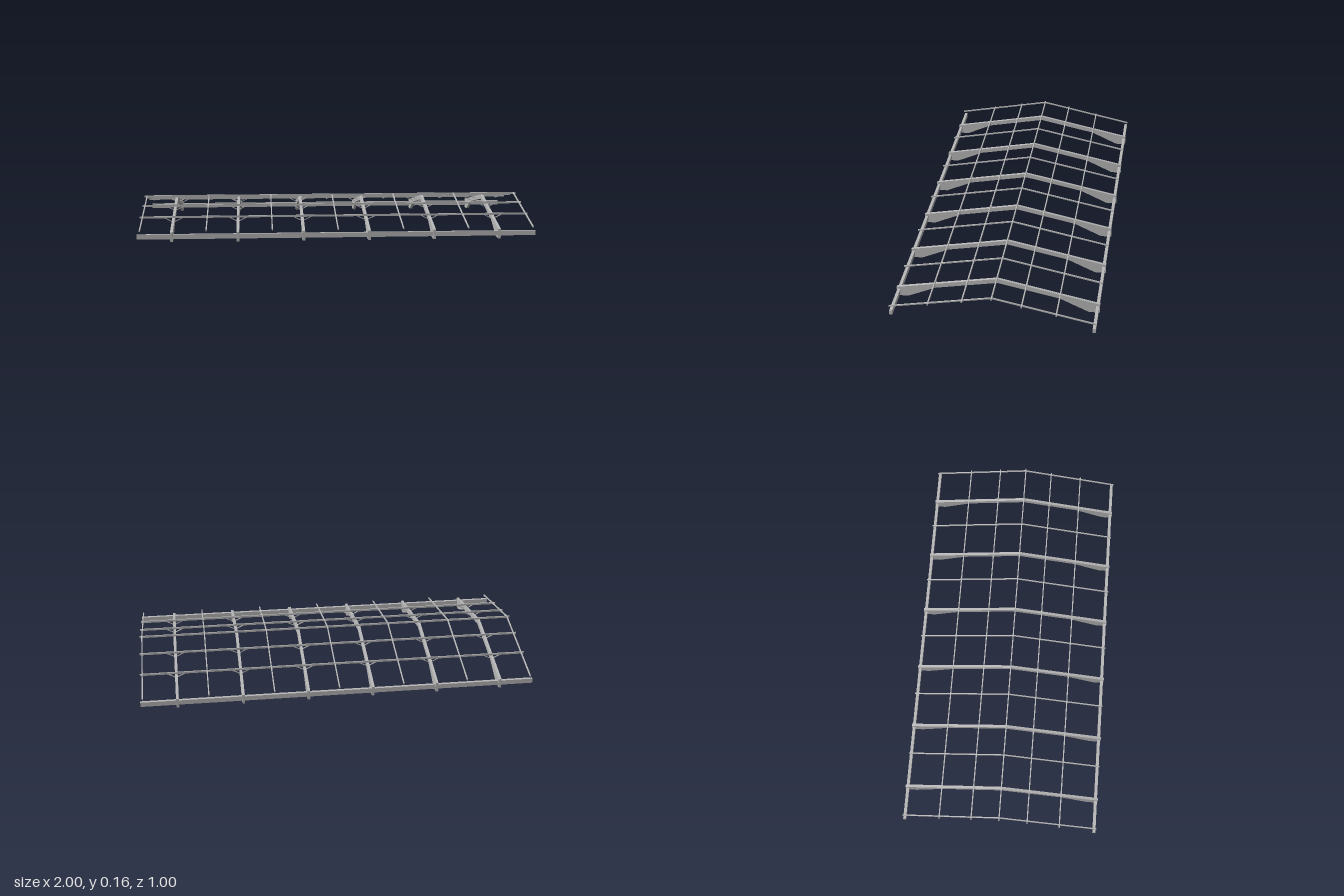
import * as THREE from 'three';

export function createModel() {
  const model = new THREE.Group();
  model.name = 'roofFrame';
  const steel = new THREE.MeshStandardMaterial({ color: 0xb8b8b8 });
  steel.name = 'greySteel';

  const add = (geometry, name) => {
    const mesh = new THREE.Mesh(geometry, steel);
    mesh.name = name;
    model.add(mesh);
    return mesh;
  };

  // Extrudes a [z, y] outline along x, centred on x
  const profile = (points, width, x, name) => {
    const shape = new THREE.Shape(points.map(([z, y]) => new THREE.Vector2(-z, y)));
    const geometry = new THREE.ExtrudeGeometry(shape, { depth: width, bevelEnabled: false });
    geometry.translate(0, 0, -width / 2).rotateY(Math.PI / 2);
    add(geometry, name).position.x = x;
  };

  // Square bar between two points
  const bar = (from, to, size, name) => {
    const mesh = add(new THREE.BoxGeometry(size, size, from.distanceTo(to)), name);
    mesh.position.copy(from).add(to).multiplyScalar(0.5);
    mesh.lookAt(to);
  };

  const roofY = z => 0.16 - 0.2 * Math.abs(z);
  const spacing = 0.329;
  const purlinZ = [-0.308, -0.143, 0, 0.143, 0.308];

  // Haunched portal beams, deep at the eaves
  const beamOutline = [
    [0.5, 0], [0.445, 0], [0.305, 0.064], [0, 0.125], [-0.305, 0.064], [-0.445, 0],
    [-0.5, 0], [-0.5, 0.048], [0, 0.148], [0.5, 0.048],
  ];
  for (let i = 0; i < 6; i++) {
    const x = -0.829 + i * spacing;
    profile(beamOutline, 0.014, x, 'portalBeam');
    // Braces from the beam's lower edge up to the purlins
    for (const z of purlinZ.filter(v => v !== 0)) {
      for (const side of [-1, 1]) {
        bar(
          new THREE.Vector3(x, roofY(z) - 0.031, z),
          new THREE.Vector3(x + side * 0.047, roofY(z) - 0.008, z),
          0.004, 'purlinBrace');
      }
    }
  }

  // Slim rafters following the roof slope
  const rafterOutline = [
    [0.5, 0.053], [0, 0.153], [-0.5, 0.053], [-0.5, 0.06], [0, 0.16], [0.5, 0.06],
  ];
  for (let i = 0; i < 7; i++) {
    profile(rafterOutline, 0.006, -0.986 + i * spacing, 'rafter');
  }

  // Lengthwise purlins and ridge bar
  for (const z of purlinZ) {
    const mesh = add(new THREE.BoxGeometry(2, 0.01, 0.006), z === 0 ? 'ridgeBar' : 'purlin');
    mesh.position.set(0, roofY(z) - 0.005, z);
  }

  // Eave beams along both long edges
  for (const side of [-1, 1]) {
    add(new THREE.BoxGeometry(2, 0.024, 0.015), 'eaveBeam').position.set(0, 0.026, side * 0.489);
  }

  return model;
}
